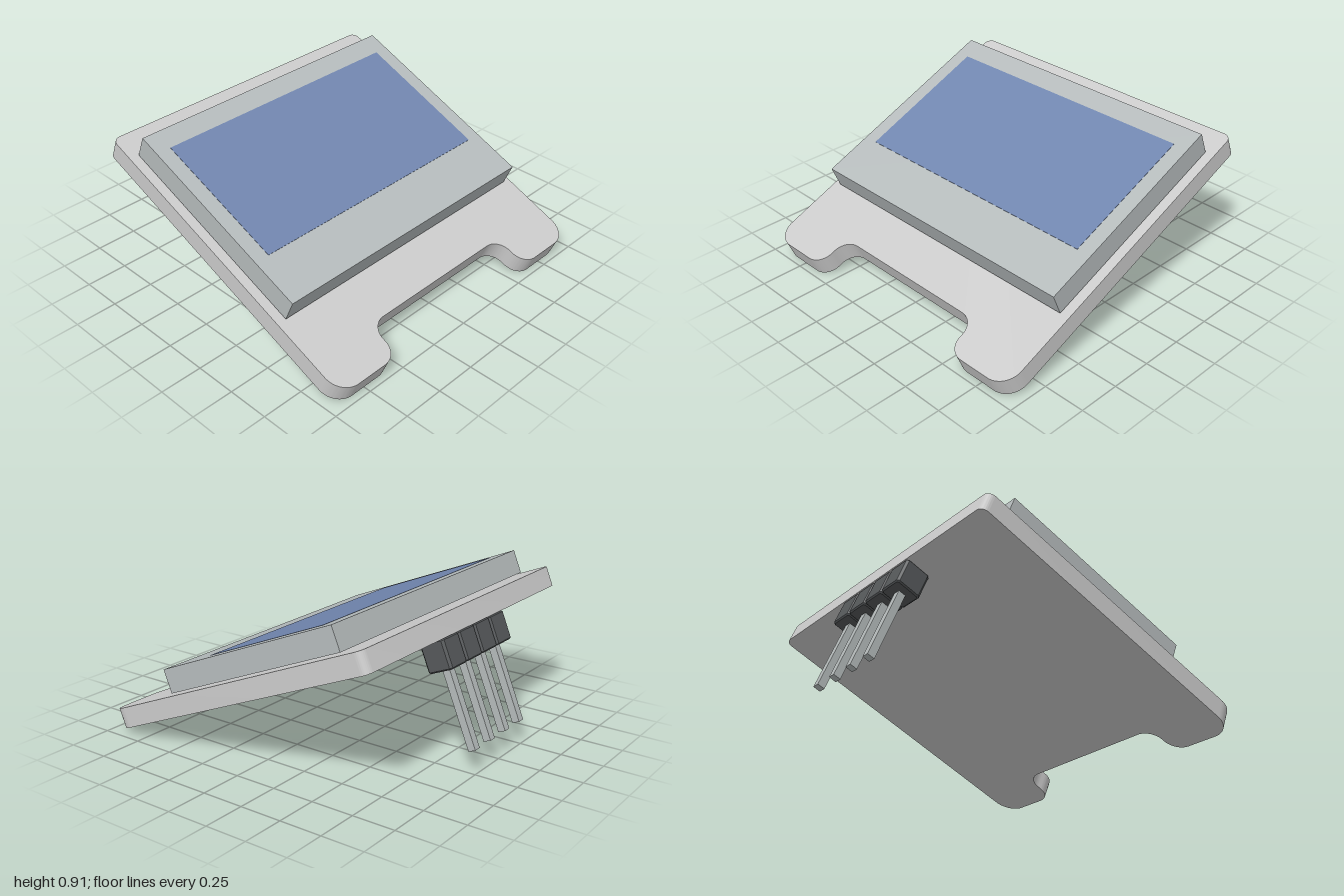
import * as THREE from 'three';
import { toCreasedNormals } from 'three/addons/utils/BufferGeometryUtils.js';

const material = (color) => new THREE.MeshStandardMaterial({ color });
const GREY = material(0xcccccc);
const GLASS = material(0xb5bbbc);
const BLUE = material(0x7186af);
const DARK = material(0x55585a);
const PIN = material(0xb4baba);

// Box given by its ranges: x, height above the board's underside, distance from the front edge
function box(name, mat, [x0, x1], [y0, y1], [u0, u1]) {
  const mesh = new THREE.Mesh(new THREE.BoxGeometry(x1 - x0, y1 - y0, u1 - u0), mat);
  mesh.position.set((x0 + x1) / 2, (y0 + y1) / 2, -(u0 + u1) / 2);
  mesh.name = name;
  return mesh;
}

// Board outline: rounded corners, with a rounded notch between two front feet
function boardGeometry() {
  const w = 0.962, len = 1.913, notch = 0.54, depth = 0.217;
  const rFoot = 0.125, rIn = 0.1, rBack = 0.045, H = Math.PI / 2;
  const s = new THREE.Shape();
  s.moveTo(-w + rFoot, 0);
  s.absarc(-notch - rIn, rIn, rIn, -H, 0, false);
  s.absarc(-notch + rIn, depth - rIn, rIn, Math.PI, H, true);
  s.absarc(notch - rIn, depth - rIn, rIn, H, 0, true);
  s.absarc(notch + rIn, rIn, rIn, Math.PI, 3 * H, false);
  s.absarc(w - rFoot, rFoot, rFoot, -H, 0, false);
  s.absarc(w - rBack, len - rBack, rBack, 0, H, false);
  s.absarc(-w + rBack, len - rBack, rBack, H, Math.PI, false);
  s.absarc(-w + rFoot, rFoot, rFoot, Math.PI, 3 * H, false);
  const g = new THREE.ExtrudeGeometry(s, { depth: 0.119, bevelEnabled: false, curveSegments: 12 });
  g.rotateX(-H);
  return toCreasedNormals(g, 0.6);
}

// Header block with slightly chamfered edges
function headerGeometry(w, h, d) {
  const c = 0.008, x = w / 2 - c, y = d / 2 - c;
  const s = new THREE.Shape([
    [-x + c, -y], [x - c, -y], [x, -y + c], [x, y - c],
    [x - c, y], [-x + c, y], [-x, y - c], [-x, -y + c],
  ].map(([a, b]) => new THREE.Vector2(a, b)));
  const g = new THREE.ExtrudeGeometry(s, {
    depth: h - 2 * c, bevelEnabled: true, bevelSegments: 1, bevelSize: c, bevelThickness: c,
  });
  g.translate(0, 0, c);
  g.rotateX(-Math.PI / 2);
  return g;
}

export function createModel() {
  const model = new THREE.Group();
  model.name = 'displayModule';

  // Everything is laid out flat, then tilted back about the front edge
  const tilted = new THREE.Group();
  tilted.name = 'tiltedAssembly';
  tilted.rotation.x = THREE.MathUtils.degToRad(22.5);
  tilted.position.z = 0.955;
  model.add(tilted);

  const board = new THREE.Mesh(boardGeometry(), GREY);
  board.name = 'circuitBoard';
  tilted.add(board);

  // Display panel and its active area
  tilted.add(box('displayPanel', GLASS, [-0.908, 0.908], [0.127, 0.267], [0.49, 1.746]));
  tilted.add(box('activeArea', BLUE, [-0.817, 0.817], [0.255, 0.269], [0.785, 1.617]));

  // Pin header under the back edge
  const header = new THREE.Group();
  header.name = 'pinHeader';
  const blockGeometry = headerGeometry(0.16, 0.167, 0.155);
  for (let i = 0; i < 4; i++) {
    const x = -0.013 + (i - 1.5) * 0.16;
    const block = new THREE.Mesh(blockGeometry, DARK);
    block.name = 'headerBlock';
    block.position.set(x, -0.167, -1.832);
    header.add(block);
    header.add(box('pin', PIN, [x - 0.023, x + 0.023], [-0.62, -0.1], [1.81, 1.855]));
  }
  tilted.add(header);
  return model;
}
